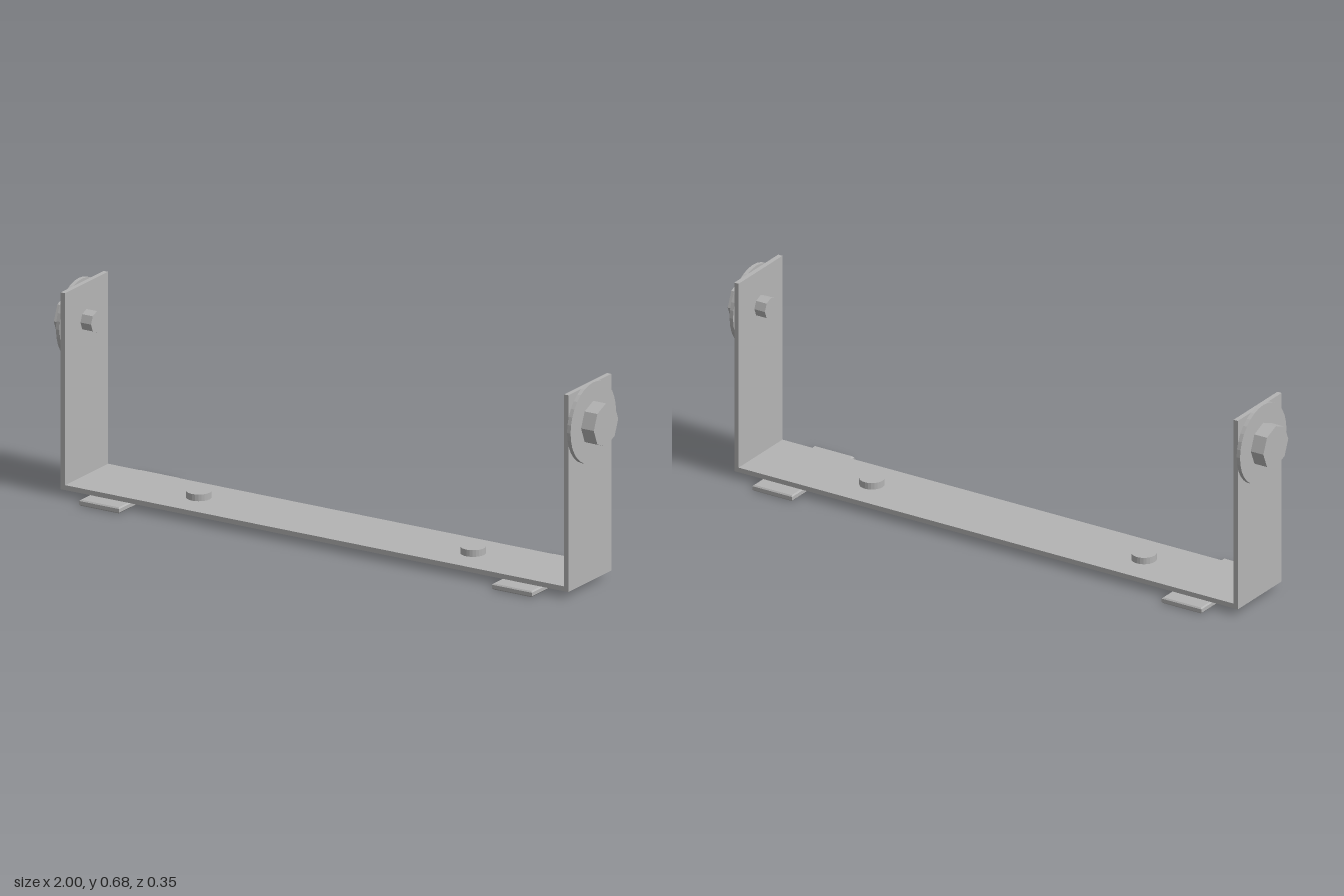
import * as THREE from 'three';

export function createModel() {
  const group = new THREE.Group();
  const steel = new THREE.MeshStandardMaterial({ color: 0xb4b4b4, flatShading: true });
  steel.name = 'brushed steel';

  const add = (name, geometry) => {
    const mesh = new THREE.Mesh(geometry, steel);
    mesh.name = name;
    group.add(mesh);
    return mesh;
  };

  // U-shaped strap: outline in x/y, extruded across its width
  const W = 0.94, T = 0.016, BASE = 0.022, TOP = 0.67, DEPTH = 0.25;
  const outline = new THREE.Shape([
    [-W, BASE], [W, BASE], [W, TOP], [W - T, TOP],
    [W - T, BASE + T], [-W + T, BASE + T], [-W + T, TOP], [-W, TOP],
  ].map(([x, y]) => new THREE.Vector2(x, y)));
  add('bracketStrap', new THREE.ExtrudeGeometry(outline, { depth: DEPTH, bevelEnabled: false })
    .translate(0, 0, -DEPTH / 2));

  // Foot pad with chamfered edges
  const C = 0.004, px = 0.074 - C, pz = 0.177 - C;
  const padShape = new THREE.Shape([
    new THREE.Vector2(-px, -pz), new THREE.Vector2(px, -pz),
    new THREE.Vector2(px, pz), new THREE.Vector2(-px, pz),
  ]);
  const padGeometry = new THREE.ExtrudeGeometry(padShape, {
    depth: 0.012, bevelThickness: C, bevelSize: C, bevelSegments: 1,
  }).rotateX(-Math.PI / 2).translate(0, C, 0);

  // Round part lying along x, between two x positions
  const PIVOT = 0.548;
  const axial = (name, side, radius, x0, x1, sides) => {
    const mesh = add(name, new THREE.CylinderGeometry(radius, radius, x1 - x0, sides).rotateZ(Math.PI / 2));
    mesh.position.set(side * (x0 + x1) / 2, PIVOT, 0);
  };

  for (const side of [1, -1]) {
    const label = side > 0 ? 'left' : 'right';
    add(label + 'FootPad', padGeometry).position.x = side * 0.764;

    // Rivet head on the base
    add(label + 'Rivet', new THREE.CylinderGeometry(0.04, 0.04, 0.024, 24))
      .position.set(side * 0.508, 0.048, 0);

    // Pivot bolt: washer, octagonal head and inner shank end
    axial(label + 'Washer', side, 0.132, 0.94, 0.953, 32);
    axial(label + 'BoltHead', side, 0.071, 0.95, 1.0, 8);
    axial(label + 'BoltShank', side, 0.035, 0.885, 0.945, 8);
  }
  return group;
}
